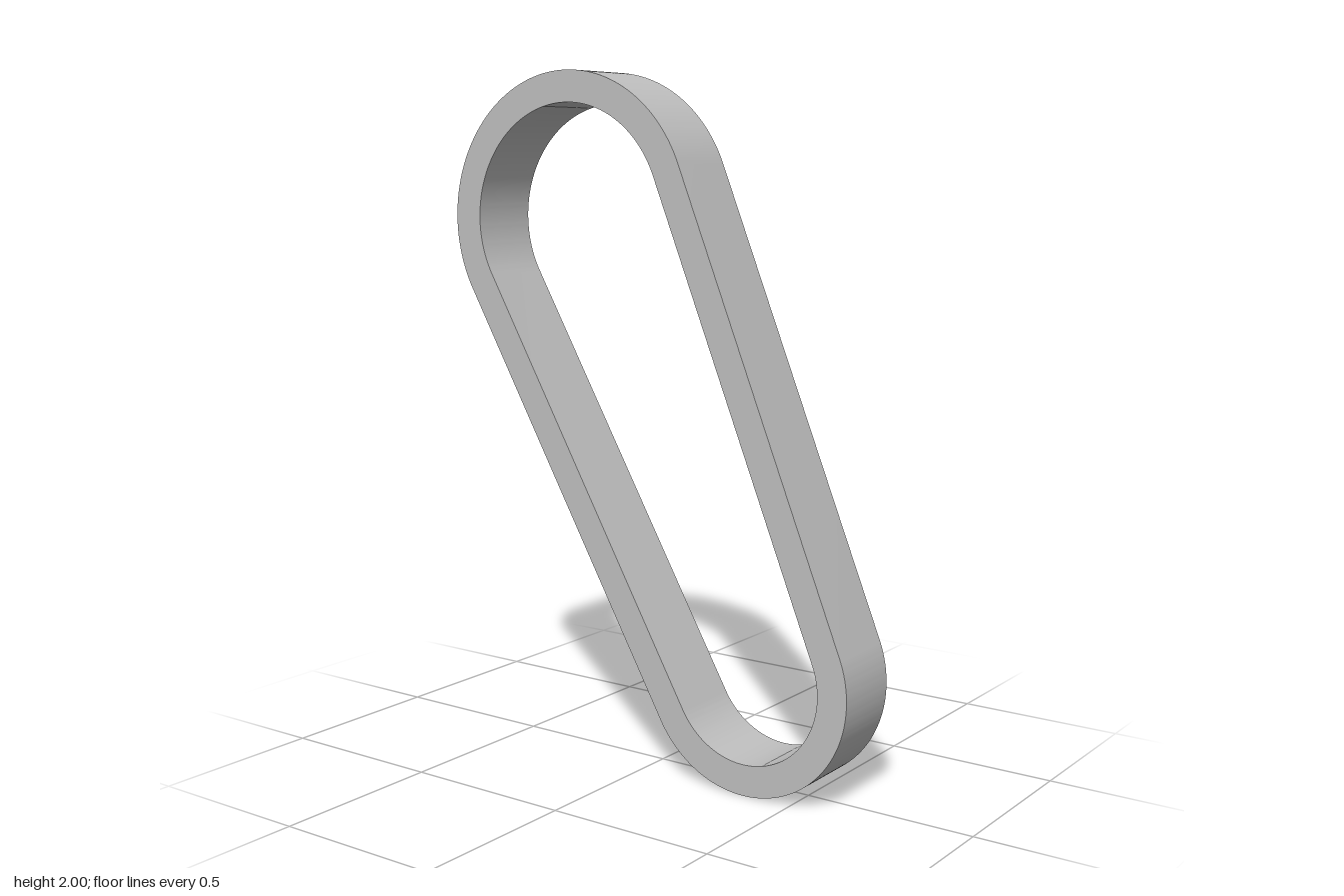
import * as THREE from 'three';
import { toCreasedNormals } from 'three/addons/utils/BufferGeometryUtils.js';

const DEPTH = 0.22;
const WALL = 0.09;
const big = { x: -0.26, y: 1.58, r: 0.42 };
const small = { x: 0.353, y: 0.325, r: 0.325 };

// Outline of a belt wrapped tightly around both circles, shrunk by inset
function beltOutline(path, inset) {
  const dx = small.x - big.x, dy = small.y - big.y;
  const axis = Math.atan2(dy, dx);
  const spread = Math.acos((big.r - small.r) / Math.hypot(dx, dy));
  const right = axis + spread, left = axis - spread;
  path.absarc(big.x, big.y, big.r - inset, right, left + 2 * Math.PI, false);
  path.absarc(small.x, small.y, small.r - inset, left, right, false);
  path.closePath();
  return path;
}

export function createModel() {
  const group = new THREE.Group();
  group.name = 'beltLoop';
  const grey = new THREE.MeshStandardMaterial({ color: 0xbfbfbf });
  grey.name = 'lightGrey';

  // Closed band with straight sides and two round ends of different size
  const shape = beltOutline(new THREE.Shape(), 0);
  shape.holes.push(beltOutline(new THREE.Path(), WALL));
  const extruded = new THREE.ExtrudeGeometry(shape, {
    depth: DEPTH, bevelEnabled: false, curveSegments: 64,
  });
  extruded.translate(0, 0, -DEPTH / 2);
  const band = new THREE.Mesh(toCreasedNormals(extruded, Math.PI / 6), grey);
  band.name = 'band';
  group.add(band);
  return group;
}
